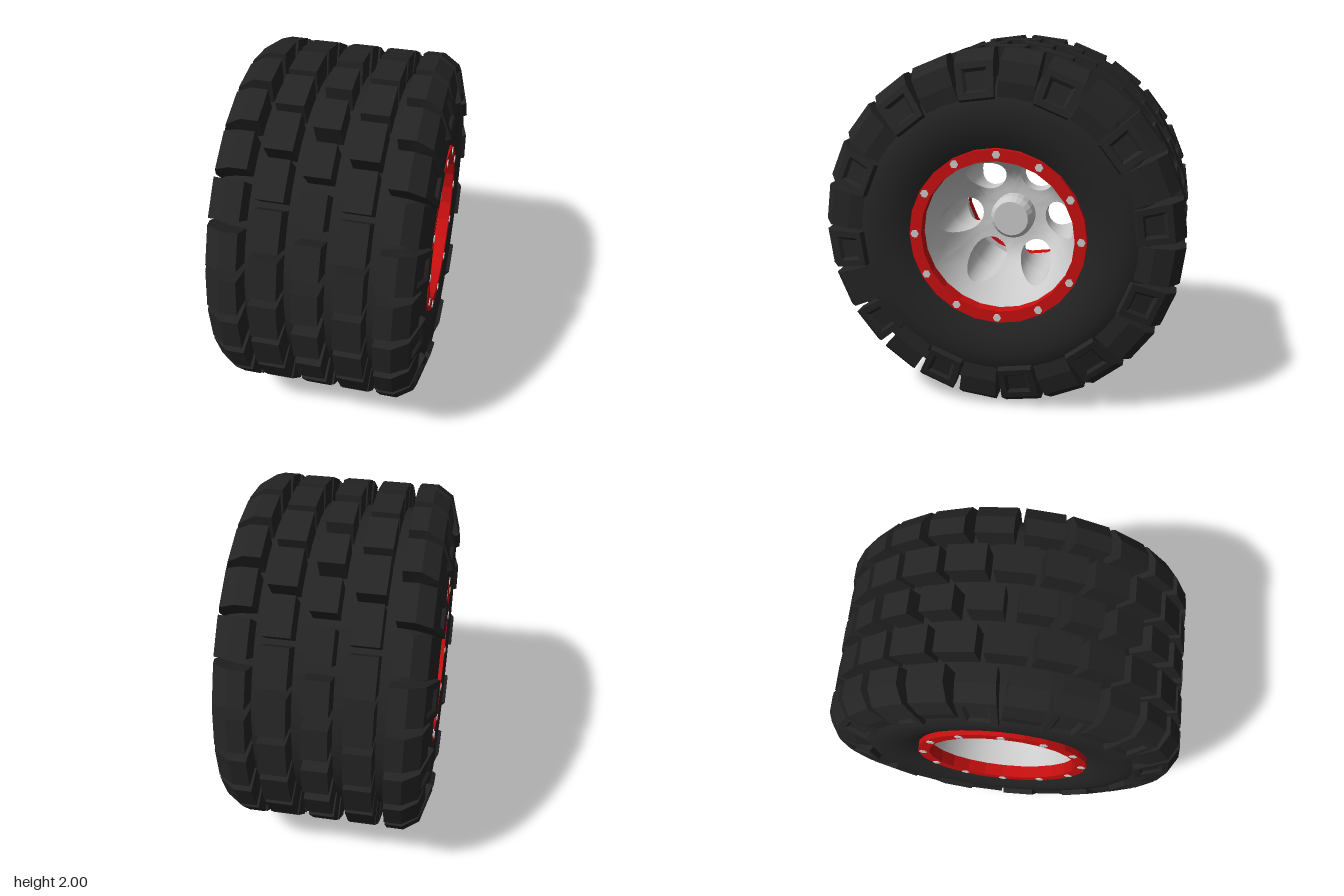
import * as THREE from 'three';
import { mergeGeometries, mergeVertices } from 'three/addons/utils/BufferGeometryUtils.js';

const DEG = Math.PI / 180;
const rubber = new THREE.MeshStandardMaterial({ color: 0x242424, flatShading: true });
const smoothRubber = new THREE.MeshStandardMaterial({ color: 0x242424 });
const red = new THREE.MeshStandardMaterial({ color: 0xc80f0f, flatShading: true });
const metal = new THREE.MeshStandardMaterial({ color: 0xcccccc, side: THREE.DoubleSide });
const flatMetal = new THREE.MeshStandardMaterial({ color: 0xcccccc, flatShading: true });

const HOLE_R = 0.1, HOLE_POS = 0.285, DISH_R = 0.425, HUB_R = 0.11;

function add(parent, name, geometry, material) {
  const mesh = new THREE.Mesh(geometry, material);
  mesh.name = name;
  parent.add(mesh);
  return mesh;
}

// Lathe around the x axis; points are [radius, x]
function latheX(points, segments) {
  return new THREE.LatheGeometry(points.map(p => new THREE.Vector2(p[0], p[1])), segments).rotateZ(-Math.PI / 2);
}

// Tread block swept around the axle: profile rows are [x, radius, half angle].
// panelIndex marks the strip that gets a recessed panel.
function blockGeometry(profile, panelIndex = -1) {
  const pos = [];
  const point = (x, r, a) => new THREE.Vector3(x, r * Math.sin(a * DEG), r * Math.cos(a * DEG));
  const tri = (...v) => v.forEach(p => pos.push(p.x, p.y, p.z));
  const quad = (a, b, c, d) => { tri(a, b, c); tri(a, c, d); };
  const low = profile.map(([x, r, h]) => point(x, r, -h));
  const high = profile.map(([x, r, h]) => point(x, r, h));

  for (let i = 0; i < profile.length - 1; i++) {
    const corners = [low[i], low[i + 1], high[i + 1], high[i]];
    if (i !== panelIndex) { quad(...corners); continue; }
    // rim, bevel and floor of the recessed panel
    const centre = corners.reduce((s, p) => s.add(p), new THREE.Vector3()).multiplyScalar(0.25);
    const normal = corners[1].clone().sub(corners[0]).cross(corners[3].clone().sub(corners[0])).normalize();
    const ring = (k, depth) => corners.map(p => p.clone().lerp(centre, 1 - k).addScaledVector(normal, -depth));
    const loops = [corners, ring(0.66, 0), ring(0.5, 0.015)];
    for (let l = 0; l < 2; l++)
      for (let j = 0; j < 4; j++) {
        const n = (j + 1) % 4;
        quad(loops[l][j], loops[l][n], loops[l + 1][n], loops[l + 1][j]);
      }
    quad(...loops[2]);
  }
  // end faces
  for (let i = 1; i < profile.length - 1; i++) {
    tri(high[0], high[i], high[i + 1]);
    tri(low[0], low[i + 1], low[i]);
  }
  const geometry = new THREE.BufferGeometry();
  geometry.setAttribute('position', new THREE.Float32BufferAttribute(pos, 3));
  geometry.computeVertexNormals();
  return geometry;
}

// Evenly spaced copies around the axle, starting at an elevation above +z
function blockRow(parent, name, geometry, startAngle, count) {
  const row = new THREE.Group();
  row.name = name;
  for (let i = 0; i < count; i++)
    add(row, 'treadBlock', geometry, rubber).rotation.x = -(startAngle + i * 360 / count) * DEG;
  parent.add(row);
}

// Depth of the dished wheel centre at a given radius
function dishDepth(r) {
  const t = Math.max(0, (r - HUB_R) / (DISH_R - HUB_R));
  return 0.05 + 0.46 * Math.pow(t, 3.5);
}

// Closed loops of equal length joined into a surface
function loftLoops(loops) {
  const n = loops[0].length, pos = [], index = [];
  loops.flat().forEach(p => pos.push(p.x, p.y, p.z));
  for (let k = 0; k < loops.length - 1; k++)
    for (let j = 0; j < n; j++) {
      const a = k * n + j, b = k * n + (j + 1) % n;
      index.push(a, a + n, b, b, a + n, b + n);
    }
  const geometry = new THREE.BufferGeometry();
  geometry.setAttribute('position', new THREE.Float32BufferAttribute(pos, 3));
  geometry.setIndex(index);
  return geometry;
}

// Wheel dish made of six sectors, each with a round opening, and the opening walls
function dishParts() {
  const N = 24, STEPS = 6, sectors = [], walls = [];
  for (let s = 0; s < 6; s++) {
    const loops = [];
    for (let k = 0; k <= STEPS; k++) {
      loops.push(Array.from({ length: N }, (_, j) => {
        const c = Math.cos(j / N * Math.PI * 2), d = Math.sin(j / N * Math.PI * 2);
        const m = Math.max(Math.abs(c), Math.abs(d));
        const r = (DISH_R + HUB_R) / 2 + (DISH_R - HUB_R) / 2 * c / m, phi = 30 * DEG * d / m;
        const z = THREE.MathUtils.lerp(HOLE_POS + HOLE_R * c, r * Math.cos(phi), k / STEPS);
        const y = THREE.MathUtils.lerp(HOLE_R * d, r * Math.sin(phi), k / STEPS);
        return new THREE.Vector3(dishDepth(Math.hypot(y, z)), y, z);
      }));
    }
    sectors.push(loftLoops(loops).rotateX(s * 60 * DEG));
    const inner = loops[0].map(p => new THREE.Vector3(0, p.y, p.z));
    walls.push(loftLoops([inner, loops[0]]).rotateX(s * 60 * DEG));
  }
  return [sectors, walls].map(list => {
    const geometry = mergeVertices(mergeGeometries(list));
    geometry.computeVertexNormals();
    return geometry;
  });
}

export function createModel() {
  const model = new THREE.Group();
  model.name = 'offRoadWheel';
  const wheel = new THREE.Group();
  wheel.name = 'wheel';
  wheel.position.y = 1;
  model.add(wheel);

  // Tyre body
  const half = [[0.86, 0.35], [0.85, 0.45], [0.81, 0.52], [0.75, 0.56], [0.68, 0.573], [0.61, 0.57],
    [0.55, 0.555], [0.5, 0.535], [0.43, 0.5]];
  const carcass = [...half.map(([r, x]) => [r, -x]).reverse(), ...half];
  add(wheel, 'tyreBody', latheX(carcass, 48), smoothRubber);

  // Middle tread rows
  const block = (x0, x1, top, base) =>
    blockGeometry([[x0, 0.83, base], [x0, 0.997, top], [x1, 0.997, top], [x1, 0.83, base]]);
  blockRow(wheel, 'centreTread', block(-0.07, 0.07, 5.3, 5.8), 7.5, 24);
  blockRow(wheel, 'leftInnerTread', block(0.145, 0.295, 6.2, 6.6), 0, 24);
  blockRow(wheel, 'rightInnerTread', block(-0.295, -0.145, 6.2, 6.6), 0, 24);

  // Shared geometry for the two faces of the wheel
  const shoulderTop = [[0.355, 0.82, 6.2], [0.355, 1, 5.8], [0.45, 1, 5.8], [0.535, 0.945, 6.4]];
  const longShoulder = blockGeometry([...shoulderTop, [0.59, 0.76, 7.1], [0.55, 0.74, 7.3]], 3);
  const shortShoulder = blockGeometry([...shoulderTop, [0.562, 0.84, 6.8], [0.555, 0.74, 7.2]]);
  const ring = latheX([[0.485, 0.49], [0.485, 0.56], [0.42, 0.56], [0.42, 0.49]], 24);
  const bolt = new THREE.CylinderGeometry(0.023, 0.023, 0.03, 6).rotateZ(-Math.PI / 2);
  const hub = latheX([[0.125, 0], [0.125, 0.13], [0.1, 0.17], [0, 0.17]], 24);
  const [dish, holeWalls] = dishParts();

  for (const side of ['left', 'right']) {
    const face = new THREE.Group();
    face.name = side + 'Face';
    if (side === 'right') face.rotation.y = Math.PI;
    wheel.add(face);
    blockRow(face, 'longShoulderTread', longShoulder, -7.5, 12);
    blockRow(face, 'shortShoulderTread', shortShoulder, 7.5, 12);
    add(face, 'clampRing', ring, red);
    add(face, 'wheelDish', dish, metal);
    add(face, 'holeWalls', holeWalls, metal);
    add(face, 'hub', hub, flatMetal);
    for (let i = 0; i < 12; i++) {
      const a = i * 30 * DEG;
      add(face, 'bolt', bolt, flatMetal).position.set(0.55, 0.455 * Math.sin(a), 0.455 * Math.cos(a));
    }
  }

  return model;
}
